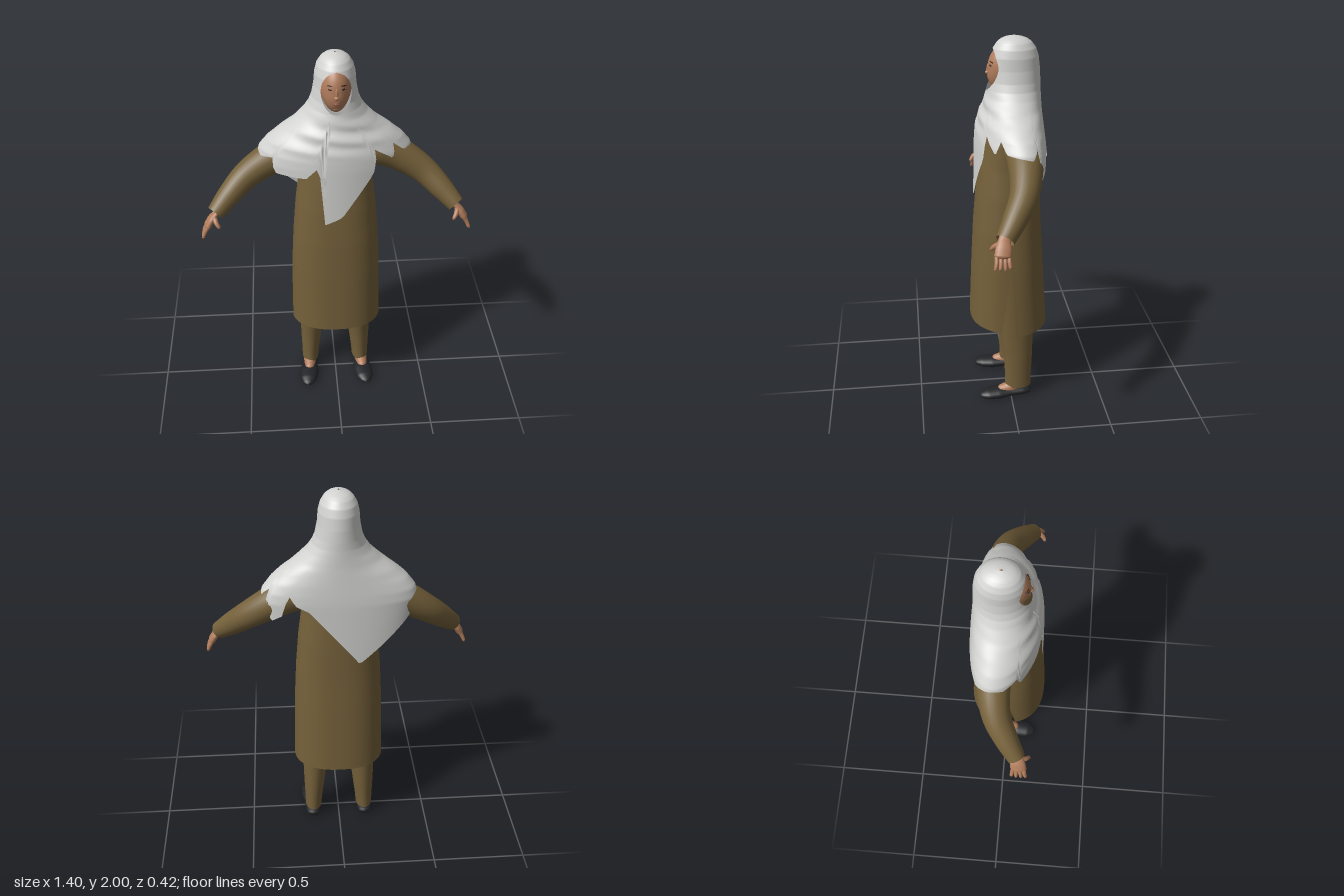
import * as THREE from 'three';
import { mergeVertices, mergeGeometries } from 'three/addons/utils/BufferGeometryUtils.js';

const mat = (name, color, side = THREE.FrontSide) => {
  const m = new THREE.MeshStandardMaterial({ color, side });
  m.name = name;
  return m;
};

// Surface from f(u, v): u runs round anticlockwise seen from above, v runs downwards.
function grid(cols, rows, f) {
  const pos = [], idx = [], w = cols + 1;
  for (let r = 0; r <= rows; r++) for (let c = 0; c <= cols; c++) pos.push(...f(c / cols, r / rows));
  for (let r = 0; r < rows; r++) for (let c = 0; c < cols; c++) {
    const a = r * w + c;
    idx.push(a, a + w, a + w + 1, a, a + w + 1, a + 1);
  }
  const g = new THREE.BufferGeometry();
  g.setAttribute('position', new THREE.Float32BufferAttribute(pos, 3));
  g.setIndex(idx);
  return g;
}

function smooth(...parts) {
  const g = mergeVertices(parts.length > 1 ? mergeGeometries(parts) : parts[0], 1e-5);
  g.computeVertexNormals();
  return g;
}

// Linear interpolation in a table sorted by its first column.
function sample(keys, k) {
  const dir = Math.sign(keys[keys.length - 1][0] - keys[0][0]);
  let i = 0;
  while (i < keys.length - 2 && (k - keys[i + 1][0]) * dir > 0) i++;
  const a = keys[i], b = keys[i + 1];
  const f = THREE.MathUtils.clamp((k - a[0]) / (b[0] - a[0]), 0, 1);
  return a.map((v, j) => v + (b[j] - v) * f);
}

// Point on a rounded section; each key is [y, half width, front z, back z, centre x].
function section(keys, t, y, p = 2) {
  const [, rx, zf, zb, cx = 0] = sample(keys, y);
  const pw = (v) => Math.sign(v) * Math.abs(v) ** (2 / p);
  return [cx + rx * pw(Math.sin(t)), y, (zf + zb) / 2 + (zf - zb) / 2 * pw(Math.cos(t))];
}

// Tube along [x, y, z, radius] keys, optionally flattened along a direction.
function limb(keys, segs = 24, radial = 20, normal = null, flat = 1) {
  const curve = new THREE.CatmullRomCurve3(keys.map((k) => new THREE.Vector3(k[0], k[1], k[2])));
  const g = new THREE.TubeGeometry(curve, segs, 1, radial);
  g.deleteAttribute('uv');
  g.deleteAttribute('normal');
  const P = g.attributes.position, o = new THREE.Vector3();
  for (let i = 0; i < P.count; i++) {
    const u = Math.floor(i / (radial + 1)) / segs;
    const k = curve.getUtoTmapping(u) * (keys.length - 1);
    const j = Math.min(Math.floor(k), keys.length - 2);
    const r = THREE.MathUtils.lerp(keys[j][3], keys[j + 1][3], k - j);
    const c = curve.getPointAt(u);
    o.fromBufferAttribute(P, i).sub(c).multiplyScalar(r);
    if (normal) o.addScaledVector(normal, -o.dot(normal) * (1 - flat));
    o.add(c);
    P.setXYZ(i, o.x, Math.max(o.y, 0), o.z);
  }
  return smooth(g);
}

const SCARF = [
  [2.0, 0.004, -0.025, -0.04], [1.995, 0.032, 0.008, -0.07], [1.985, 0.054, 0.032, -0.098],
  [1.97, 0.072, 0.052, -0.12], [1.94, 0.09, 0.072, -0.142], [1.9, 0.1, 0.086, -0.155],
  [1.84, 0.105, 0.092, -0.162], [1.78, 0.117, 0.098, -0.165], [1.74, 0.133, 0.106, -0.166],
  [1.7, 0.162, 0.115, -0.168], [1.65, 0.215, 0.13, -0.17], [1.6, 0.285, 0.147, -0.174],
  [1.55, 0.345, 0.163, -0.178], [1.5, 0.385, 0.17, -0.182], [1.45, 0.4, 0.173, -0.185],
  [1.1, 0.36, 0.182, -0.187]];

// Height of the scarf's pointed lower edge by angle from the front, in degrees.
const EDGE = [
  [0, 1.175], [4, 1.19], [27, 1.42], [32, 1.55], [46, 1.48], [55, 1.55], [62, 1.5], [85, 1.49],
  [100, 1.48], [110, 1.52], [118, 1.35], [133, 1.39], [140, 1.5], [147, 1.45], [157, 1.42],
  [196, 1.11], [230, 1.29], [250, 1.38], [262, 1.45], [275, 1.455], [305, 1.49], [309, 1.41],
  [337, 1.41], [347, 1.48], [350, 1.145], [360, 1.175]];

const TUNIC = [
  [1.64, 0.02, 0, -0.06], [1.62, 0.1, 0.06, -0.1], [1.56, 0.165, 0.1, -0.13], [1.5, 0.185, 0.125, -0.145],
  [1.35, 0.188, 0.15, -0.157], [1.2, 0.208, 0.167, -0.166], [1.0, 0.225, 0.184, -0.174],
  [0.8, 0.236, 0.195, -0.187], [0.42, 0.246, 0.212, -0.21]];

const LEG = [
  [0.85, 0.1, 0.1, -0.13, 0.11], [0.44, 0.072, 0.062, -0.125, 0.13], [0.25, 0.059, 0.037, -0.121, 0.139],
  [0.12, 0.049, 0.03, -0.114, 0.145], [0.06, 0.046, 0.032, -0.113, 0.147]];

export function createModel() {
  const root = new THREE.Group();
  root.name = 'standingWoman';
  const cloth = mat('olive cloth', 0x74603a, THREE.DoubleSide);
  const white = mat('pale scarf', 0xd2d2d0, THREE.DoubleSide);
  const skin = mat('skin', 0xb07c5c);
  const black = mat('black shoe', 0x222326);
  const dark = mat('dark brown', 0x2c1d17);
  const lip = mat('lip', 0x8e5546);
  const add = (name, geo, m, x = 0, y = 0, z = 0, parent = root) => {
    const mesh = new THREE.Mesh(geo, m);
    mesh.name = name;
    mesh.position.set(x, y, z);
    parent.add(mesh);
    return mesh;
  };
  const TAU = Math.PI * 2;

  // Scarf: hood with a face opening, joined to a draped cape with soft folds
  const drape = (t, y) => {
    const p = section(SCARF, t, y);
    const fade = Math.max(0, 1 - Math.abs(y - 1.62) / 0.12) * Math.max(0, Math.cos(t * 0.5) ** 2);
    p[2] += 0.007 * fade * Math.sin(y * 75 + 3 * Math.sin(t)) - 0.3 * p[0] * p[0];
    return p;
  };
  const hood = grid(144, 70, (u, v) => {
    const y = 2 - 0.28 * v;
    const h = 1 - ((y - 1.835) / 0.102) ** 2;
    const t0 = h > 0 ? Math.asin(0.074 * Math.sqrt(h) / sample(SCARF, y)[1]) : 0;
    return drape(t0 + u * (TAU - 2 * t0), y);
  });
  const cape = grid(144, 40, (u, v) => drape(u * TAU, THREE.MathUtils.lerp(1.72, sample(EDGE, u * 360)[1], v)));
  add('scarf', smooth(hood, cape), white);

  // Tunic: closed upper part and two panels parted by side slits
  const slit = 0.82;
  add('tunicUpper', smooth(grid(64, 40, (u, v) => section(TUNIC, u * TAU, 1.64 + (slit - 1.64) * v, 2.4))), cloth);
  const panel = (name, mid, hem, gap) => add(name, smooth(grid(40, 16, (u, v) => {
    const half = Math.PI / 2 - gap * v;
    const side = Math.abs(2 * u - 1) ** 4;
    return section(TUNIC, mid + (2 * u - 1) * half, slit + (hem - 0.015 * side - slit) * v, 2.4);
  })), cloth);
  panel('tunicFrontPanel', 0, 0.465, 0.2);
  panel('tunicBackPanel', Math.PI, 0.435, 0.06);

  // Head, with a narrower jaw pushed a little forward
  const headGeo = new THREE.SphereGeometry(1, 40, 32);
  headGeo.scale(0.08, 0.125, 0.11);
  const H = headGeo.attributes.position;
  for (let i = 0; i < H.count; i++) {
    const low = Math.max(0, -H.getY(i) / 0.125);
    H.setX(i, H.getX(i) * (1 - 0.15 * low));
    if (H.getZ(i) > 0) H.setZ(i, H.getZ(i) + 0.022 * low);
  }
  headGeo.computeVertexNormals();
  const head = new THREE.Group();
  head.name = 'head';
  head.position.set(0, 1.84, -0.01);
  root.add(head);
  add('face', headGeo, skin, 0, 0, 0, head);
  const ball = new THREE.SphereGeometry(1, 20, 14);
  const blob = (name, m, x, y, z, sx, sy, sz) => {
    const b = add(name, ball, m, x, y, z, head);
    b.scale.set(sx, sy, sz);
    return b;
  };
  blob('noseBridge', skin, 0, 0.004, 0.106, 0.008, 0.03, 0.009).rotation.x = -0.2;
  blob('noseTip', skin, 0, -0.02, 0.11, 0.013, 0.011, 0.013);
  blob('chin', skin, 0, -0.082, 0.08, 0.024, 0.018, 0.018);
  blob('upperLip', lip, 0, -0.047, 0.106, 0.019, 0.004, 0.006);
  blob('lowerLip', lip, 0, -0.054, 0.105, 0.016, 0.005, 0.006);
  for (const s of [1, -1]) {
    blob('eye', dark, 0.031 * s, 0.02, 0.0985, 0.011, 0.004, 0.004).rotation.y = 0.35 * s;
    const brow = blob('brow', dark, 0.033 * s, 0.037, 0.094, 0.017, 0.0025, 0.004);
    brow.rotation.set(0, 0.35 * s, -0.1 * s);
  }

  // Limbs on both sides
  for (const s of [1, -1]) {
    const side = s > 0 ? 'left' : 'right';
    const flip = (keys) => keys.map(([x, ...rest]) => [x * s, ...rest]);
    const part = (name, keys, m, ...rest) => add(side + name, limb(flip(keys), ...rest), m);

    part('Sleeve', [[0.12, 1.5, -0.05, 0.08], [0.22, 1.47, -0.052, 0.095], [0.33, 1.42, -0.05, 0.085],
      [0.46, 1.335, -0.025, 0.071], [0.55, 1.255, 0.03, 0.06], [0.622, 1.185, 0.085, 0.046]], cloth, 32, 24);

    // Hand: flattened palm, four curved fingers and a thumb
    const n = new THREE.Vector3(0.84 * s, 0.54, 0);
    part('Palm', [[0.595, 1.21, 0.07, 0.03], [0.622, 1.182, 0.088, 0.03], [0.645, 1.155, 0.094, 0.039],
      [0.665, 1.122, 0.1, 0.04], [0.673, 1.108, 0.101, 0]], skin, 24, 20, n, 0.5);
    for (let i = 0; i < 4; i++) {
      const z = 0.07 + 0.02 * i, tip = 1.058 + 0.008 * Math.abs(i - 1.3);
      part('Finger', [[0.655, 1.135, z, 0.01], [0.678, 1.1, z, 0.0105], [0.69, 1.075, z + 0.004 * (i - 1), 0.009],
        [0.693, tip + 0.004, z + 0.006 * (i - 1), 0.006], [0.693, tip, z + 0.006 * (i - 1), 0]], skin, 14, 10);
    }
    part('Thumb', [[0.628, 1.175, 0.105, 0.014], [0.617, 1.155, 0.135, 0.012], [0.604, 1.135, 0.148, 0.009],
      [0.6, 1.127, 0.15, 0]], skin, 14, 10);

    // Trouser leg, bare instep and flat shoe
    const leg = LEG.map((k) => [...k.slice(0, 4), k[4] * s]);
    add(side + 'TrouserLeg', smooth(grid(32, 24, (u, v) => section(leg, u * TAU, 0.85 - 0.79 * v))), cloth);
    part('Foot', [[0.147, 0.13, -0.05, 0.034], [0.149, 0.08, -0.04, 0.036], [0.152, 0.05, 0, 0.036],
      [0.157, 0.036, 0.06, 0.024], [0.159, 0.03, 0.08, 0]], skin, 24, 18);
    part('Shoe', [[0.149, 0.026, -0.114, 0], [0.149, 0.026, -0.106, 0.03], [0.15, 0.026, -0.07, 0.042],
      [0.153, 0.024, 0, 0.045], [0.159, 0.022, 0.07, 0.053], [0.166, 0.02, 0.13, 0.047],
      [0.17, 0.018, 0.168, 0.025], [0.171, 0.018, 0.182, 0]], black, 40, 24, new THREE.Vector3(0, 1, 0), 0.55);
  }
  return root;
}
